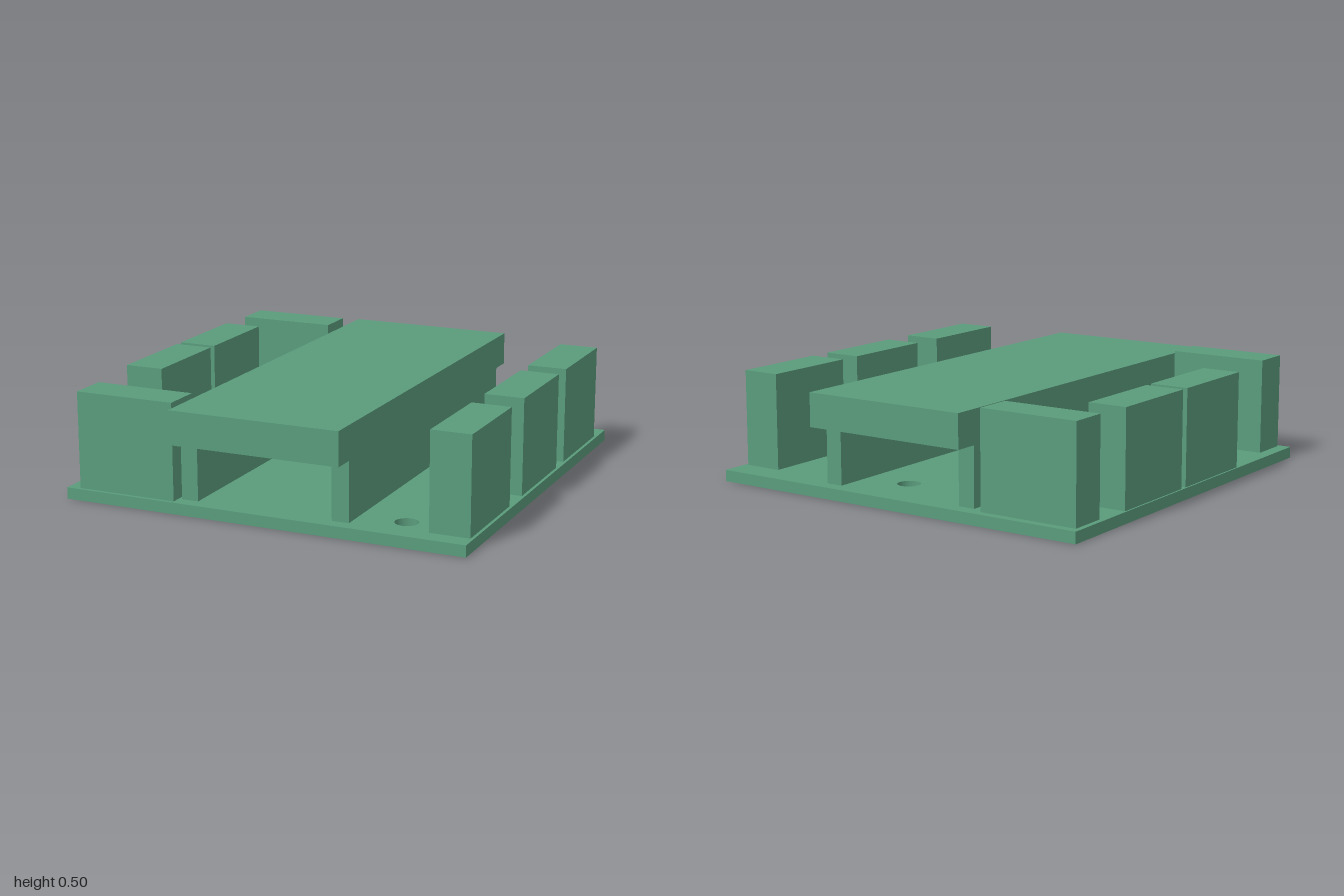
import * as THREE from 'three';

export function createModel() {
  const model = new THREE.Group();
  const green = new THREE.MeshStandardMaterial({ color: 0x5a9c7c });
  green.name = 'boardGreen';

  const baseTop = 0.053;

  // Box given by its limits on each axis
  function block(name, [x0, x1], [y0, y1], [z0, z1]) {
    const mesh = new THREE.Mesh(new THREE.BoxGeometry(x1 - x0, y1 - y0, z1 - z0), green);
    mesh.position.set((x0 + x1) / 2, (y0 + y1) / 2, (z0 + z1) / 2);
    mesh.name = name;
    model.add(mesh);
  }

  // Base plate with two round mounting holes
  const half = 0.957;
  const outline = new THREE.Shape([
    new THREE.Vector2(-half, -half), new THREE.Vector2(half, -half),
    new THREE.Vector2(half, half), new THREE.Vector2(-half, half),
  ]);
  for (const [x, z] of [[0.62, 0.78], [0.1, -0.69]]) {
    outline.holes.push(new THREE.Path().absarc(x, -z, 0.053, 0, Math.PI * 2, true));
  }
  const plate = new THREE.ExtrudeGeometry(outline, { depth: baseTop, bevelEnabled: false, curveSegments: 24 });
  plate.rotateX(-Math.PI / 2);
  const base = new THREE.Mesh(plate, green);
  base.name = 'basePlate';
  model.add(base);

  // Raised deck on two long support rails
  block('deck', [-0.403, 0.403], [0.328, 0.484], [-1, 1]);
  block('leftRail', [0.323, 0.403], [baseTop, 0.328], [-0.89, 0.895]);
  block('rightRail', [-0.403, -0.323], [baseTop, 0.328], [-0.89, 0.895]);

  // Upright terminal blocks around the edges
  const height = [baseTop, 0.5];
  for (const z of [-0.82, -0.24, 0.395]) block('leftTerminal', [0.758, 0.943], height, [z, z + 0.475]);
  for (const z of [-0.563, -0.05]) block('rightTerminal', [-0.949, -0.764], height, [z, z + 0.475]);
  block('backTerminal', [-0.933, -0.456], height, [-0.918, -0.738]);
  block('frontTerminal', [-0.897, -0.42], height, [0.757, 0.94]);

  return model;
}
